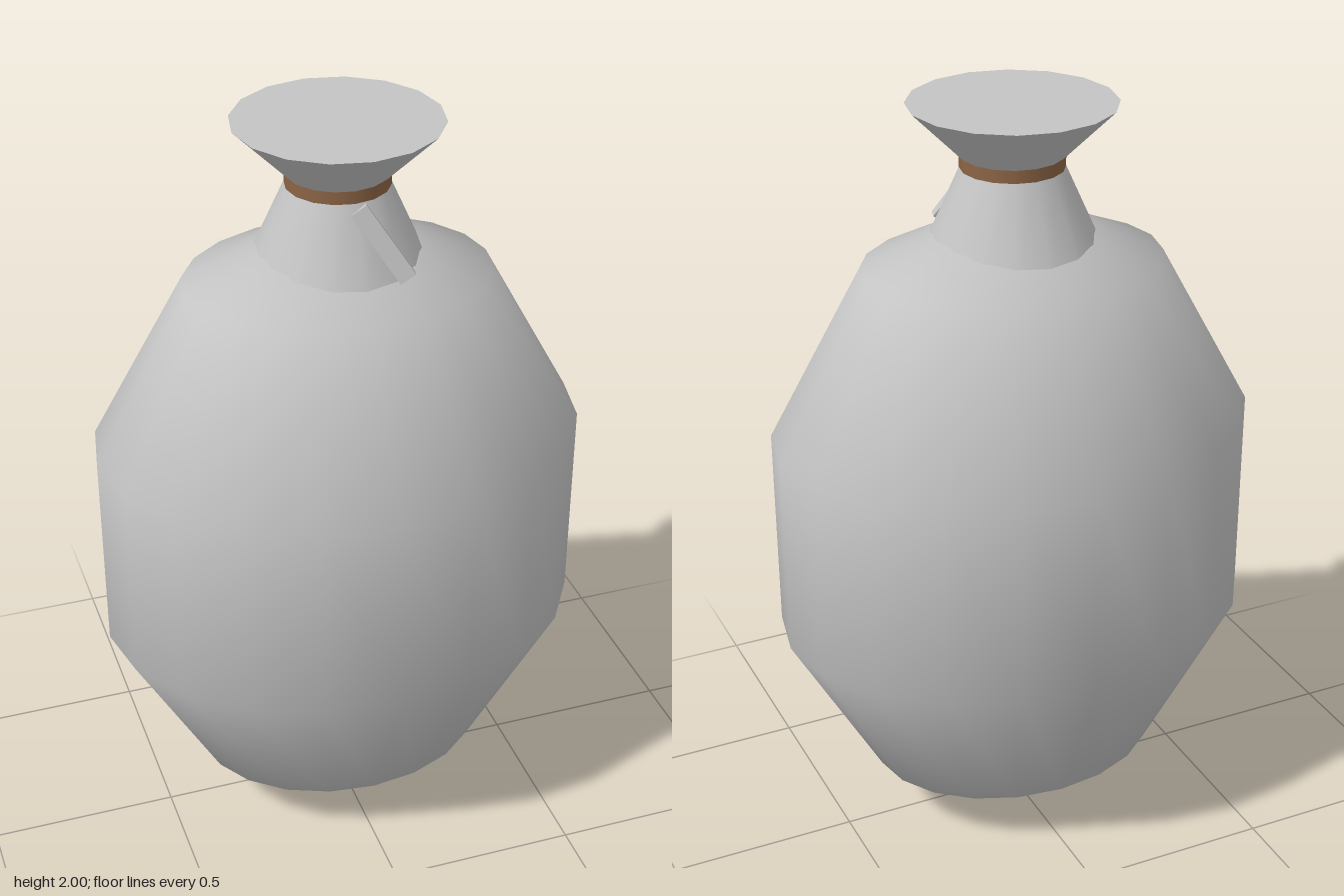
import * as THREE from 'three';

const cloth = new THREE.MeshStandardMaterial({ color: 0xc4c4c4 });
cloth.name = 'pale cloth';
const cord = new THREE.MeshStandardMaterial({ color: 0x8b6444 });
cord.name = 'brown cord';

export function createModel() {
  const group = new THREE.Group();
  group.name = 'tiedSack';

  const add = (name, geometry, material, x, y, z) => {
    const mesh = new THREE.Mesh(geometry, material);
    mesh.name = name;
    mesh.position.set(x, y, z);
    group.add(mesh);
    return mesh;
  };
  // Round section standing between two heights
  const ring = (name, material, rTop, rBottom, y0, y1) =>
    add(name, new THREE.CylinderGeometry(rTop, rBottom, y1 - y0, 16), material, 0, (y0 + y1) / 2, 0);

  // Body: coarse ellipsoid, wider than deep
  const body = new THREE.SphereGeometry(1, 20, 5);
  body.scale(0.673, 0.88, 0.538);
  add('body', body, cloth, 0, 0.88, 0);

  // Gathered neck, tie band and flared mouth
  ring('neck', cloth, 0.128, 0.238, 1.6, 1.845);
  ring('tieBand', cord, 0.132, 0.132, 1.828, 1.87);
  ring('mouth', cloth, 0.263, 0.128, 1.865, 2.0);

  // Loose tie end lying against the front of the neck
  const tie = add('tieEnd', new THREE.BoxGeometry(0.045, 0.21, 0.025), cloth, 0.06, 1.737, 0.166);
  tie.rotation.set(-0.2, -0.25, 0.55);

  return group;
}
